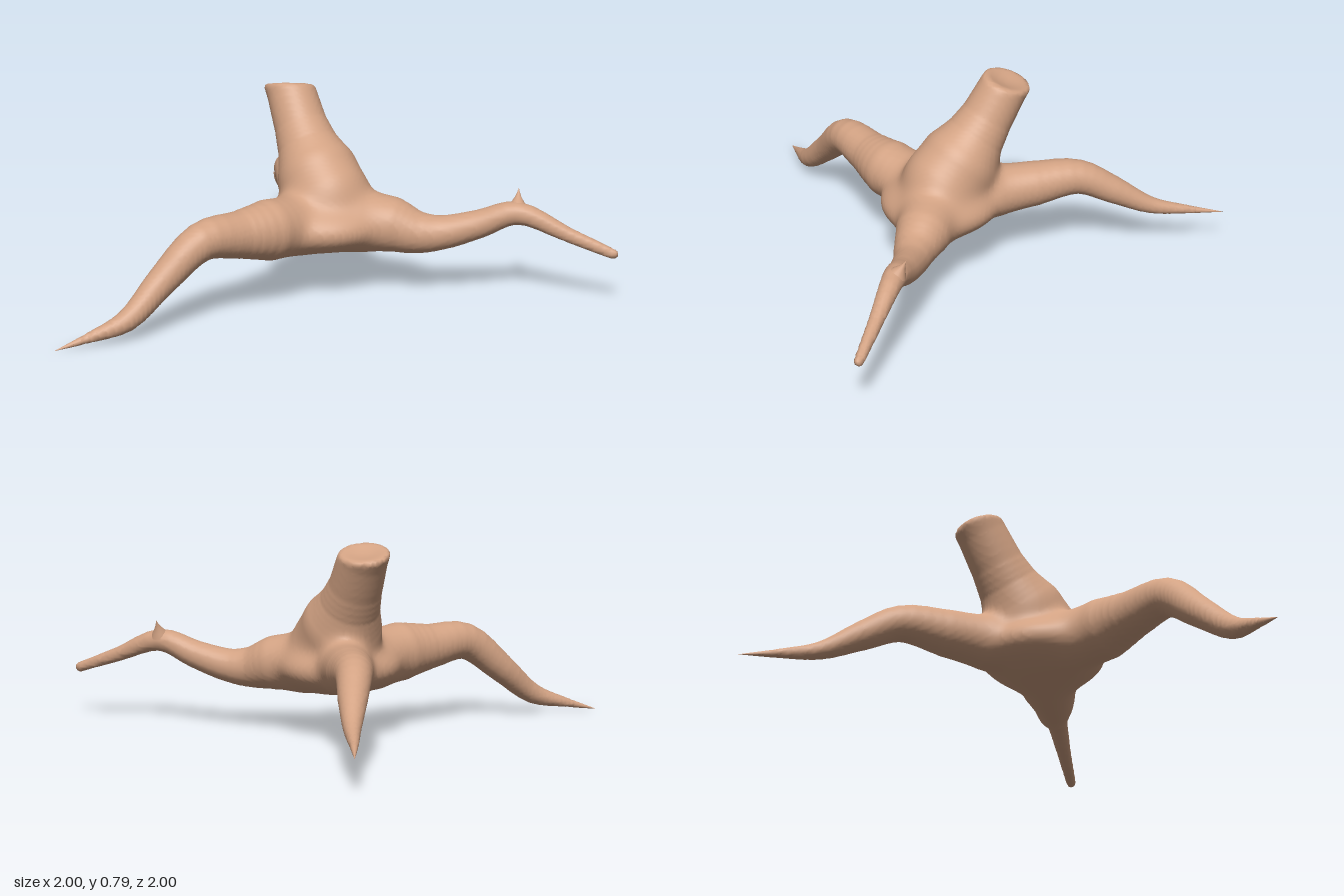
import * as THREE from 'three';

// Limb spines: [x, y, z, radius], from the body outwards
const FRONT_LEG = [[-0.27, 0.29, 0.23, 0.11], [-0.33, 0.305, 0.35, 0.118], [-0.42, 0.315, 0.46, 0.092],
  [-0.535, 0.325, 0.6, 0.074], [-0.66, 0.2, 0.72, 0.058], [-0.765, 0.08, 0.84, 0.042],
  [-0.885, 0.036, 0.925, 0.02], [-1, 0.002, 1, 0]];
const BACK_LEG = [[-0.27, 0.3, -0.12, 0.1], [-0.33, 0.315, -0.25, 0.092], [-0.405, 0.33, -0.42, 0.07],
  [-0.45, 0.265, -0.56, 0.056], [-0.5, 0.187, -0.71, 0.034], [-0.555, 0.157, -0.85, 0.018],
  [-0.61, 0.135, -1, 0]];
const SIDE_LEG = [[0, 0.28, 0.1, 0.112], [0.1, 0.275, 0.098, 0.108], [0.2, 0.25, 0.105, 0.084],
  [0.3, 0.25, 0.098, 0.068], [0.45, 0.29, 0.088, 0.056], [0.6, 0.342, 0.082, 0.045],
  [0.8, 0.27, 0.096, 0.029], [0.98, 0.205, 0.11, 0.02]];
const NECK = [[-0.15, 0.38, 0.08, 0.16], [-0.195, 0.44, 0.035, 0.16], [-0.24, 0.52, -0.013, 0.125],
  [-0.285, 0.61, -0.062, 0.106], [-0.335, 0.73, -0.12, 0.098], [-0.39, 0.86, -0.185, 0.1]];

const BLEND = 0.025;
const CUT = new THREE.Vector3(-0.345, 0.765, -0.128);
const CUT_N = new THREE.Vector3(-0.05, 0.94, -0.33).normalize();

// Smooth a spine into short tapered segments
function smoothSpine(points) {
  const curve = new THREE.CatmullRomCurve3(points.map(p => new THREE.Vector3(p[0], p[1], p[2])));
  const n = (points.length - 1) * 4, out = [];
  for (let i = 0; i <= n; i++) {
    const v = curve.getPoint(i / n), j = Math.min(Math.floor(i / 4), points.length - 2);
    out.push([v.x, v.y, v.z, THREE.MathUtils.lerp(points[j][3], points[j + 1][3], i / 4 - j)]);
  }
  return out;
}

// Signed distance to a tapered spine
function spineDistance(s, x, y, z) {
  let best = Infinity;
  for (let i = 0; i < s.length - 1; i++) {
    const a = s[i], b = s[i + 1];
    const dx = b[0] - a[0], dy = b[1] - a[1], dz = b[2] - a[2];
    const px = x - a[0], py = y - a[1], pz = z - a[2];
    const t = Math.min(1, Math.max(0, (px * dx + py * dy + pz * dz) / (dx * dx + dy * dy + dz * dz)));
    const ex = px - dx * t, ey = py - dy * t, ez = pz - dz * t;
    const d = Math.sqrt(ex * ex + ey * ey + ez * ez) - a[3] - (b[3] - a[3]) * t;
    if (d < best) best = d;
  }
  return best;
}

// Flattened core of the body
function coreDistance(x, y, z) {
  const px = (x + 0.165) / 0.237, py = (y - 0.275) / 0.108, pz = (z - 0.1) / 0.237;
  const k0 = Math.hypot(px, py, pz), k1 = Math.hypot(px / 0.237, py / 0.108, pz / 0.237);
  return k1 < 1e-6 ? -0.1 : k0 * (k0 - 1) / k1;
}

const smoothMax = (a, b, k) => {
  const h = Math.max(k - Math.abs(a - b), 0) / k;
  return Math.max(a, b) + h * h * k / 4;
};

// Neck ends in a slanted, slightly dished cut
function neckDistance(s, x, y, z) {
  const plane = (x - CUT.x) * CUT_N.x + (y - CUT.y) * CUT_N.y + (z - CUT.z) * CUT_N.z;
  const bowl = 0.2 - Math.hypot(x - CUT.x - CUT_N.x * 0.187, y - CUT.y - CUT_N.y * 0.187, z - CUT.z - CUT_N.z * 0.187);
  return smoothMax(smoothMax(spineDistance(s, x, y, z), plane, 0.02), bowl, 0.01);
}

// Wrap a skin round the zero level of a field: one vertex per crossed cell
function skinGeometry(field, min, max, h) {
  const n = [0, 1, 2].map(a => Math.ceil((max[a] - min[a]) / h) + 1);
  const step = [1, n[0], n[0] * n[1]];
  const values = new Float32Array(n[0] * n[1] * n[2]);
  const at = (i, j, k) => i + j * step[1] + k * step[2];
  for (let k = 0; k < n[2]; k++) for (let j = 0; j < n[1]; j++) for (let i = 0; i < n[0]; i++)
    values[at(i, j, k)] = field(min[0] + i * h, min[1] + j * h, min[2] + k * h);

  const ids = new Int32Array(values.length).fill(-1), positions = [], index = [];
  const e = 0.002;
  for (let k = 0; k < n[2] - 1; k++) for (let j = 0; j < n[1] - 1; j++) for (let i = 0; i < n[0] - 1; i++) {
    const base = at(i, j, k), sum = [0, 0, 0];
    let count = 0;
    for (let c = 0; c < 8; c++) for (let a = 0; a < 3; a++) {
      if (c >> a & 1) continue;
      const o = [c & 1, c >> 1 & 1, c >> 2 & 1];
      const q = base + at(o[0], o[1], o[2]), v0 = values[q], v1 = values[q + step[a]];
      if ((v0 < 0) === (v1 < 0)) continue;
      o[a] += v0 / (v0 - v1);
      for (let m = 0; m < 3; m++) sum[m] += o[m];
      count++;
    }
    if (!count) continue;
    let [x, y, z] = [i, j, k].map((g, a) => min[a] + (g + sum[a] / count) * h);
    // settle the vertex onto the surface
    const d = field(x, y, z);
    const g = [field(x + e, y, z) - d, field(x, y + e, z) - d, field(x, y, z + e) - d].map(v => v / e);
    const f = THREE.MathUtils.clamp(d / Math.max(0.3, g[0] ** 2 + g[1] ** 2 + g[2] ** 2), -h / 2, h / 2);
    ids[base] = positions.length / 3;
    positions.push(x - g[0] * f, y - g[1] * f, z - g[2] * f);
  }
  for (let k = 1; k < n[2] - 1; k++) for (let j = 1; j < n[1] - 1; j++) for (let i = 1; i < n[0] - 1; i++) {
    const q = at(i, j, k);
    for (let a = 0; a < 3; a++) {
      const inside = values[q] < 0;
      if (inside === (values[q + step[a]] < 0)) continue;
      const u = step[(a + 1) % 3], v = step[(a + 2) % 3];
      const [p0, p1, p2, p3] = [q - u - v, q - v, q, q - u].map(c => ids[c]);
      if (inside) index.push(p0, p1, p2, p0, p2, p3);
      else index.push(p0, p2, p1, p0, p3, p2);
    }
  }
  const geo = new THREE.BufferGeometry();
  geo.setAttribute('position', new THREE.Float32BufferAttribute(positions, 3));
  geo.setIndex(index);
  geo.computeVertexNormals();
  return geo;
}

// Stand a y-up mesh on point a, aimed at point b
function aim(mesh, a, b, along) {
  mesh.quaternion.setFromUnitVectors(new THREE.Vector3(0, 1, 0), b.clone().sub(a).normalize());
  mesh.position.copy(a).lerp(b, along);
  return mesh;
}

export function createModel() {
  const model = new THREE.Group();
  const material = new THREE.MeshStandardMaterial({ color: 0xd2a283 });
  const legs = [FRONT_LEG, BACK_LEG, SIDE_LEG].map(smoothSpine), neck = smoothSpine(NECK);

  // Body, legs and neck as one blended skin
  const field = (x, y, z) => {
    let sum = Math.exp(-coreDistance(x, y, z) / BLEND) + Math.exp(-neckDistance(neck, x, y, z) / BLEND);
    for (const leg of legs) sum += Math.exp(-spineDistance(leg, x, y, z) / BLEND);
    return -BLEND * Math.log(sum);
  };
  const skin = new THREE.Mesh(skinGeometry(field, [-1.03, -0.03, -1.03], [1.03, 0.83, 1.03], 0.0135), material);
  skin.name = 'body';
  model.add(skin);

  // Fine points of the two sharp legs
  ['frontLegTip', 'backLegTip'].forEach((name, l) => {
    const tip = new THREE.Group(), s = legs[l];
    tip.name = name;
    for (let i = s.length - 4; i < s.length - 1; i++) {
      const a = new THREE.Vector3(...s[i].slice(0, 3)), b = new THREE.Vector3(...s[i + 1].slice(0, 3));
      const geo = new THREE.CylinderGeometry(s[i + 1][3], s[i][3], a.distanceTo(b), 16, 1, true);
      tip.add(aim(new THREE.Mesh(geo, material), a, b, 0.5));
    }
    model.add(tip);
  });

  // Thorn on the knee of the side leg
  const profile = [[0.036, 0], [0.024, 0.02], [0.012, 0.04], [0.005, 0.058], [0, 0.075]];
  const thorn = new THREE.Mesh(new THREE.LatheGeometry(profile.map(p => new THREE.Vector2(...p)), 16), material);
  thorn.name = 'kneeThorn';
  model.add(aim(thorn, new THREE.Vector3(0.6, 0.364, 0.066), new THREE.Vector3(0.6, 0.43, 0.03), 0));

  return model;
}
